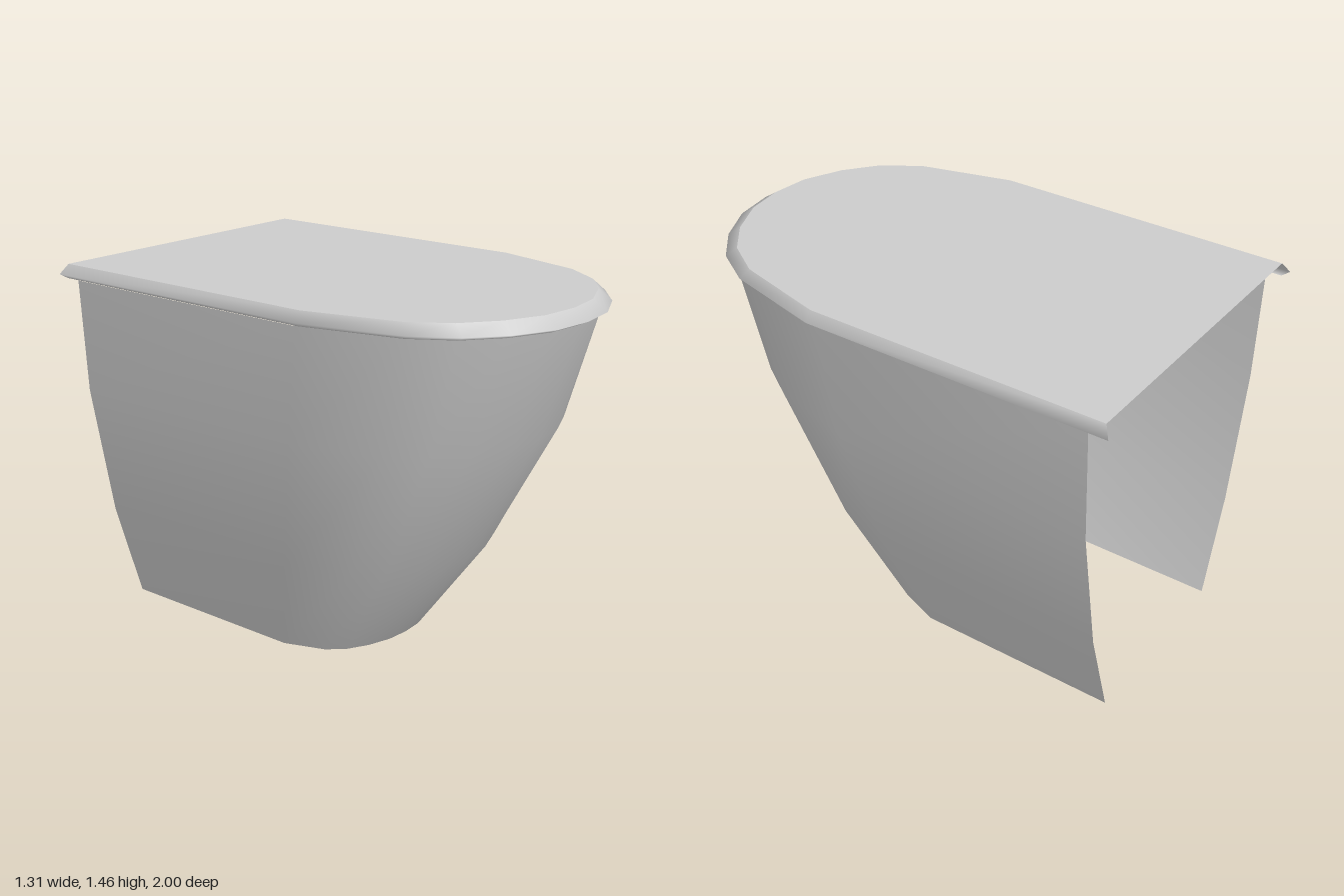
import * as THREE from 'three';

const material = new THREE.MeshStandardMaterial({ color: 0xcccccc, side: THREE.DoubleSide });

// Unit curve of the rounded front, from the left side to the middle: [width, depth]
const half = [[1, 0], [0.847, 0.523], [0.695, 0.732], [0.489, 0.876], [0.244, 0.974]];
const nose = [...half, [0, 1], ...half.slice().reverse().map(([x, z]) => [-x, z])];

// U-shaped outline, open at the back
function outline({ w, start, front, back }) {
  const arc = nose.map(([x, z]) => [x * w, start + z * (front - start)]);
  return [[w, back], ...arc, [-w, back]];
}

// Skin through a stack of outlines, listed from bottom to top
function loft(name, levels) {
  const pos = [], index = [];
  const n = nose.length + 2;
  levels.forEach((level, j) => {
    outline(level).forEach(([x, z], i) => {
      pos.push(x, level.y, z);
      if (j < levels.length - 1 && i < n - 1) {
        const a = j * n + i, b = a + 1, c = a + n, d = c + 1;
        index.push(a, c, b, b, c, d);
      }
    });
  });
  const geometry = new THREE.BufferGeometry();
  geometry.setAttribute('position', new THREE.Float32BufferAttribute(pos, 3));
  geometry.setIndex(index);
  geometry.computeVertexNormals();
  const mesh = new THREE.Mesh(geometry, material);
  mesh.name = name;
  return mesh;
}

export function createModel() {
  const group = new THREE.Group();
  group.name = 'hoodedBin';

  // Tapering wall, open at the back and the bottom
  group.add(loft('wall', [
    { y: 0, w: 0.39, start: -0.09, front: 0.22, back: -0.915 },
    { y: 0.41, w: 0.515, start: 0.03, front: 0.525, back: -0.915 },
    { y: 0.95, w: 0.613, start: 0.15, front: 0.82, back: -0.915 },
    { y: 1.4, w: 0.636, start: 0.21, front: 0.965, back: -0.915 },
  ]));

  // Bevelled rim around the lid
  const top = { y: 1.457, w: 0.63, start: 0.23, front: 0.94, back: -0.975 };
  group.add(loft('rim', [
    { y: 1.402, w: 0.638, start: 0.23, front: 0.967, back: -0.975 },
    { y: 1.417, w: 0.657, start: 0.23, front: 1, back: -1 },
    top,
  ]));

  // Flat lid
  const shape = new THREE.Shape(outline(top).map(([x, z]) => new THREE.Vector2(x, -z)));
  const lid = new THREE.Mesh(new THREE.ShapeGeometry(shape).rotateX(-Math.PI / 2), material);
  lid.position.y = top.y;
  lid.name = 'lid';
  group.add(lid);

  return group;
}
